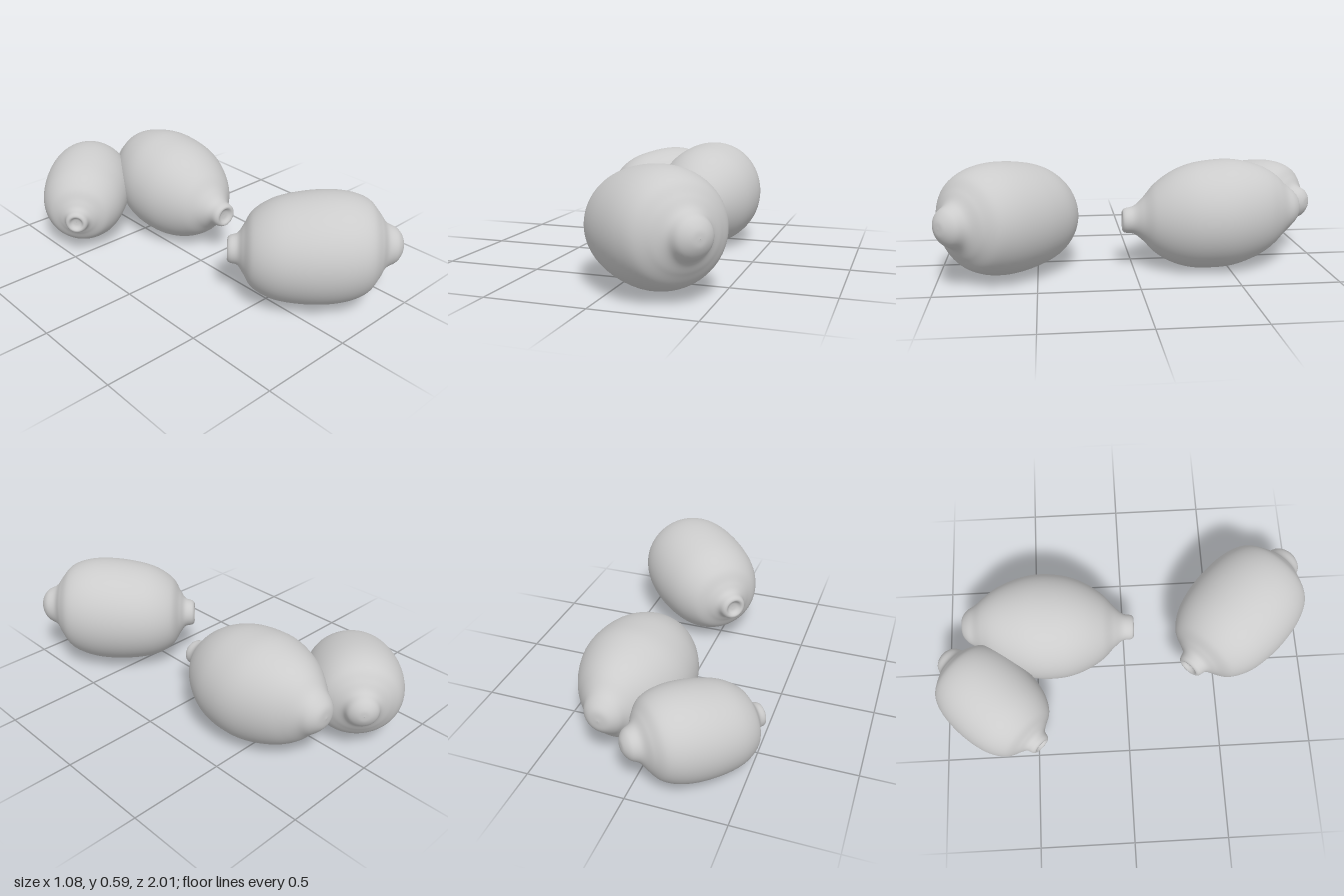
import * as THREE from 'three';

const SIDES = 64, STEPS = 110;

// Profiles run from stem to blossom end: [position along axis, half width, half height]
const plump = [
  [-0.40, 0.001, 0.001], [-0.405, 0.03, 0.03], [-0.425, 0.05, 0.05], [-0.415, 0.068, 0.068],
  [-0.375, 0.082, 0.08], [-0.345, 0.125, 0.12], [-0.30, 0.2, 0.19], [-0.2, 0.26, 0.25],
  [-0.05, 0.29, 0.28], [0.1, 0.289, 0.284], [0.2, 0.27, 0.265], [0.27, 0.237, 0.23],
  [0.32, 0.175, 0.17], [0.36, 0.11, 0.115], [0.41, 0.085, 0.085], [0.44, 0.04, 0.04], [0.445, 0.001, 0.001],
];
const slender = [
  [-0.448, 0.001, 0.001], [-0.452, 0.03, 0.03], [-0.467, 0.05, 0.05], [-0.455, 0.066, 0.063],
  [-0.41, 0.073, 0.072], [-0.36, 0.112, 0.112], [-0.3, 0.175, 0.178], [-0.21, 0.234, 0.238],
  [-0.11, 0.273, 0.272], [0.01, 0.287, 0.283], [0.1, 0.277, 0.28], [0.2, 0.243, 0.256],
  [0.28, 0.2, 0.222], [0.34, 0.153, 0.18], [0.39, 0.112, 0.128], [0.43, 0.09, 0.092],
  [0.459, 0.055, 0.055], [0.468, 0.001, 0.001],
];

// Smooth loft of elliptical rings; the centre line rises from stem to blossom end
function fruitGeometry(profile, rise) {
  const curve = new THREE.CatmullRomCurve3(
    profile.map(([u, w, h]) => new THREE.Vector3(u, w, h)), false, 'centripetal');
  const length = profile[profile.length - 1][0] - profile[0][0];
  const positions = [], index = [];
  curve.getSpacedPoints(STEPS).forEach((p) => {
    for (let j = 0; j < SIDES; j++) {
      const a = (j / SIDES) * Math.PI * 2;
      positions.push(
        Math.max(p.y, 0.0005) * Math.cos(a),
        Math.max(p.z, 0.0005) * Math.sin(a) + (rise * p.x) / length,
        p.x);
    }
  });
  for (let i = 0; i < STEPS; i++) {
    for (let j = 0; j < SIDES; j++) {
      const k = (j + 1) % SIDES;
      const a = i * SIDES + j, b = i * SIDES + k;
      index.push(a, b, a + SIDES, b, b + SIDES, a + SIDES);
    }
  }
  const geometry = new THREE.BufferGeometry();
  geometry.setAttribute('position', new THREE.Float32BufferAttribute(positions, 3));
  geometry.setIndex(index);
  geometry.computeVertexNormals();
  return geometry;
}

export function createModel() {
  const group = new THREE.Group();
  group.name = 'lemons';
  const material = new THREE.MeshStandardMaterial({ color: 0xcccccc });

  const fruits = [
    { name: 'frontLemon', profile: plump, rise: 0.05, at: [0.173, 0.305, 0.637], yaw: Math.PI / 4, scale: 1 },
    { name: 'backLeftLemon', profile: slender, rise: 0.06, at: [0.15, 0.288, -0.41], yaw: Math.PI - 0.035, scale: 1 },
    { name: 'backRightLemon', profile: plump, rise: 0.085, at: [-0.25, 0.262, -0.715], yaw: Math.PI * 0.75, scale: 0.83 },
  ];
  for (const { name, profile, rise, at, yaw, scale } of fruits) {
    const lemon = new THREE.Mesh(fruitGeometry(profile, rise), material);
    lemon.name = name;
    lemon.position.set(...at);
    lemon.rotation.y = yaw;
    lemon.scale.setScalar(scale);
    group.add(lemon);
  }
  return group;
}
